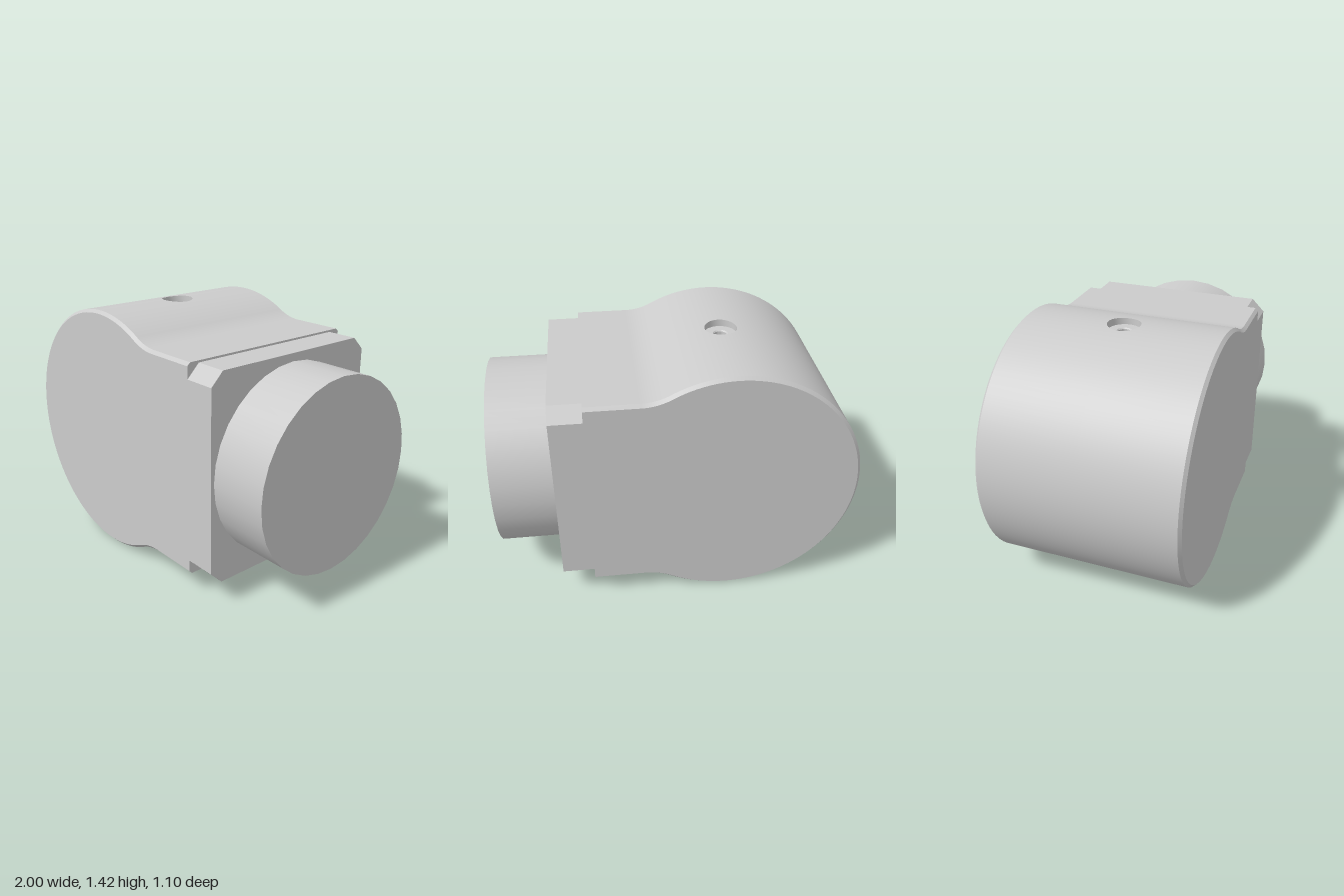
import * as THREE from 'three';
import { toCreasedNormals } from 'three/addons/utils/BufferGeometryUtils.js';

const R = 0.711, CX = -0.289;            // round head radius and centre
const NECK = 0.587, FILLET = 0.315;      // neck half height, blend radius
const XF = 0.2, XEND = 0.49;             // blend end, body end
const D = 0.55, BEVEL = 0.017;           // half depth, edge bevel
const HOLE = 0.09;                       // screw pit radius

// Closed outline of the body (bottom right, round the left, to top right), inset by d.
function outline(d) {
  const top = [];
  const add = (x, y, nx, ny, w = 0) => top.push({ x, y, nx, ny, w });
  const arc = (t, w) => add(CX + (R - d) * Math.cos(t), (R - d) * Math.sin(t), Math.cos(t), Math.sin(t), w);
  const tEnd = Math.acos((XF - CX) / (R + FILLET) > 1 ? 1 : (XF - CX) / (R + FILLET));
  const h0 = Math.acos(-HOLE / R), h1 = Math.acos(HOLE / R);
  for (let i = 0; i < 24; i++) arc(Math.PI + (h0 - Math.PI) * i / 24, 0);
  // finer steps across the pit, with its half width at each step
  for (let i = 0; i <= 16; i++) {
    const p = Math.PI * (1 - i / 16);
    arc(Math.acos(HOLE * Math.cos(p) / R), HOLE * Math.sin(p));
  }
  for (let i = 1; i <= 16; i++) arc(h1 + (tEnd - h1) * i / 16, 0);
  // concave blend into the straight neck
  const from = Math.PI + tEnd, to = Math.PI * 1.5, r = FILLET + d;
  for (let i = 1; i <= 10; i++) {
    const t = from + (to - from) * i / 10;
    add(XF + r * Math.cos(t), NECK + FILLET + r * Math.sin(t), -Math.cos(t), -Math.sin(t));
  }
  add(XEND, NECK - d, 0, 1);
  const bottom = top.slice(1).reverse().map(p => ({ ...p, y: -p.y, ny: -p.ny, w: 0 }));
  return [...bottom, ...top];
}

// Outer wall with bevelled edges, left open over the pit.
function skinGeometry() {
  const outer = outline(0), inner = outline(BEVEL), pos = [], nor = [];
  const strip = (a0, a1, b0, b1, za, zb, nz) => {
    const v = [[a0, za[0]], [b0, zb[0]], [b1, zb[1]], [a1, za[1]]];
    const l = Math.hypot(1, nz);
    for (const k of [0, 1, 2, 0, 2, 3]) {
      const [p, z] = v[k];
      pos.push(p.x, p.y, z);
      nor.push(p.nx / l, p.ny / l, nz / l);
    }
  };
  const e = D - BEVEL;
  for (let i = 0; i < outer.length - 1; i++) {
    const a = outer[i], b = outer[i + 1], ai = inner[i], bi = inner[i + 1];
    strip(ai, a, bi, b, [D, e], [D, e], 1);
    strip(a, a, b, b, [e, a.w], [e, b.w], 0);
    strip(a, a, b, b, [-a.w, -e], [-b.w, -e], 0);
    strip(a, ai, b, bi, [-e, -D], [-e, -D], -1);
  }
  const g = new THREE.BufferGeometry();
  g.setAttribute('position', new THREE.Float32BufferAttribute(pos, 3));
  g.setAttribute('normal', new THREE.Float32BufferAttribute(nor, 3));
  return g;
}

// Rectangle with cut corners, in the plane across the neck.
function cutRect(hz, hy, c) {
  const pts = [[hz - c, -hy], [hz, c - hy], [hz, hy - c], [hz - c, hy],
    [c - hz, hy], [-hz, hy - c], [-hz, c - hy], [c - hz, -hy]];
  return new THREE.Shape(pts.map(p => new THREE.Vector2(...p)));
}

// Stepped pit whose rim follows the curved head.
function pitGeometry() {
  const pts = [[HOLE, R], [HOLE, R - 0.04], [0.042, R - 0.04], [0.036, R - 0.046], [0.036, R - 0.08], [0, R - 0.08]];
  const g = new THREE.LatheGeometry(pts.map(p => new THREE.Vector2(...p)), 32);
  const p = g.attributes.position;
  for (let i = 0; i < p.count; i++) {
    if (p.getY(i) > R - 0.001) p.setY(i, Math.sqrt(R * R - p.getX(i) ** 2));
  }
  return toCreasedNormals(g, 0.6).translate(CX, 0, 0);
}

export function createModel() {
  const model = new THREE.Group();
  model.name = 'roundedHousing';
  const mat = new THREE.MeshStandardMaterial({ color: 0xcccccc });
  const matDouble = new THREE.MeshStandardMaterial({ color: 0xcccccc, side: THREE.DoubleSide });
  const add = (name, geometry, material = mat) => {
    const mesh = new THREE.Mesh(geometry, material);
    mesh.name = name;
    mesh.position.y = R;
    model.add(mesh);
  };

  // body
  add('bodyWall', skinGeometry());
  const face = new THREE.Shape(outline(BEVEL).map(p => new THREE.Vector2(p.x, p.y)));
  add('frontFace', new THREE.ShapeGeometry(face).translate(0, 0, D));
  add('backFace', new THREE.ShapeGeometry(face).rotateX(Math.PI).translate(0, 0, -D));
  add('bodyEnd', new THREE.ShapeGeometry(cutRect(D, NECK, BEVEL)).rotateY(Math.PI / 2).translate(XEND, 0, 0));
  add('screwPit', pitGeometry(), matDouble);

  // collar block with cut corners
  const collar = new THREE.ExtrudeGeometry(cutRect(D, 0.576, 0.072), { depth: 0.177, bevelEnabled: false });
  add('collar', collar.rotateY(Math.PI / 2).translate(XEND, 0, 0));

  // round spigot
  add('spigot', new THREE.CylinderGeometry(0.532, 0.532, 0.333, 32).rotateZ(-Math.PI / 2).translate(0.8335, 0, 0));
  return model;
}
